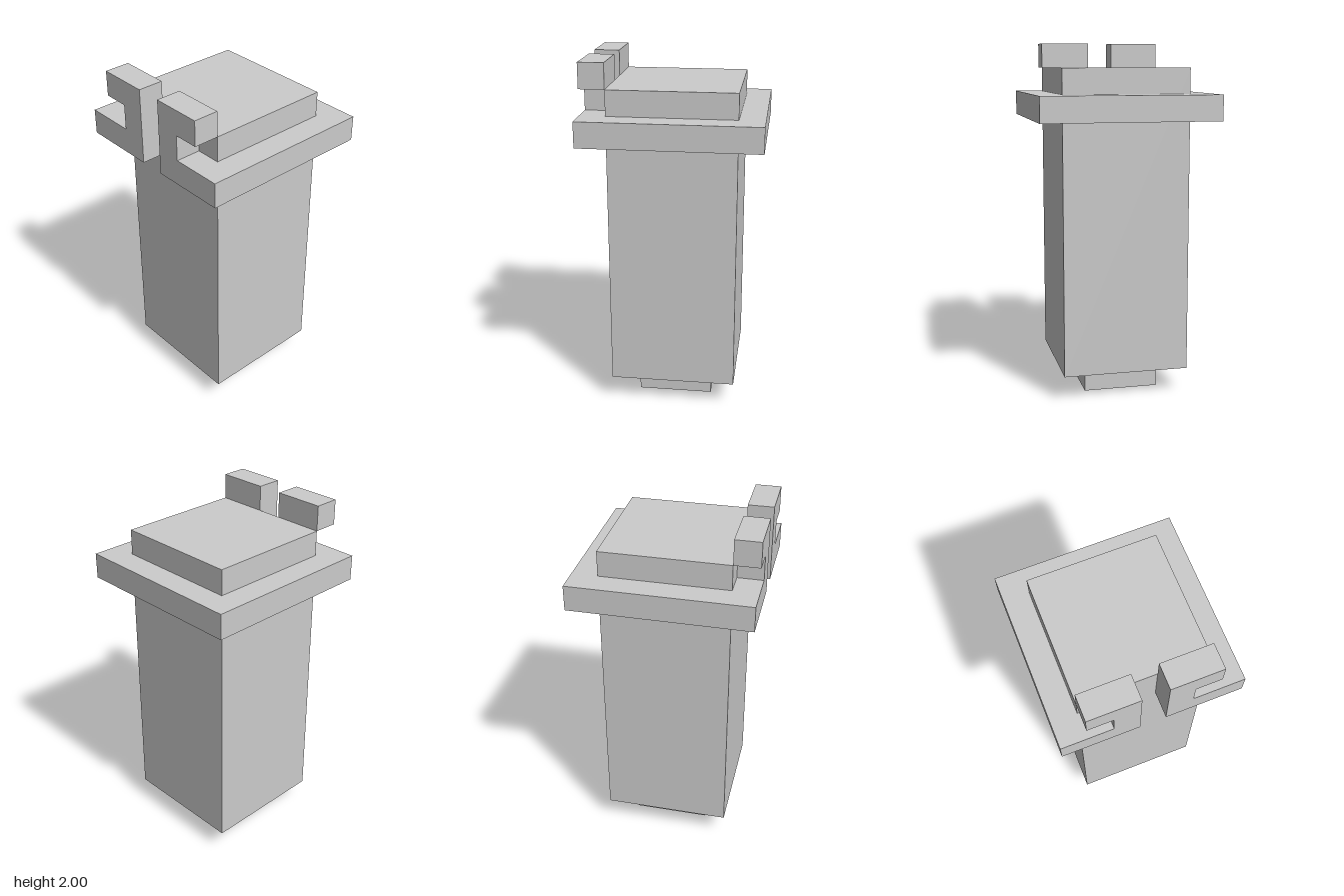
import * as THREE from 'three';

// The whole model sits on a grid of 14 steps to its full height
const U = 1 / 7;
const material = new THREE.MeshStandardMaterial({ color: 0xcccccc, flatShading: true });

function addMesh(group, name, geometry) {
  const mesh = new THREE.Mesh(geometry, material);
  mesh.name = name;
  group.add(mesh);
  return mesh;
}

// Square block, centred on the y axis, between two heights
function block(width, bottom, top) {
  return new THREE.BoxGeometry(width * U, (top - bottom) * U, width * U)
    .translate(0, ((bottom + top) / 2) * U, 0);
}

// Straight-sided outline one step thick
function slab(points) {
  const shape = new THREE.Shape(points.map(([x, y]) => new THREE.Vector2(x * U, y * U)));
  return new THREE.ExtrudeGeometry(shape, { depth: U, bevelEnabled: false });
}

export function createModel() {
  const model = new THREE.Group();
  model.name = 'postWithHooks';

  addMesh(model, 'foot', block(3, 0, 1));
  addMesh(model, 'body', block(5, 1, 13));

  // Collar wraps the sides and back of the body
  const collar = slab([
    [-3.5, -3.5], [3.5, -3.5], [3.5, 2.5], [2.5, 2.5],
    [2.5, -2.5], [-2.5, -2.5], [-2.5, 2.5], [-3.5, 2.5],
  ]).rotateX(Math.PI / 2).translate(0, 12 * U, 0);
  addMesh(model, 'collar', collar);

  // Front hooks: collar strip, upright and outward tip in one C outline
  const hook = [
    [0.5, 11], [3.5, 11], [3.5, 12], [1.5, 12],
    [1.5, 13], [2.5, 13], [2.5, 14], [0.5, 14],
  ];
  for (const [name, side] of [['leftHook', 1], ['rightHook', -1]]) {
    const geometry = slab(hook.map(([x, y]) => [x * side, y])).translate(0, 0, 2.5 * U);
    addMesh(model, name, geometry);
  }

  return model;
}
